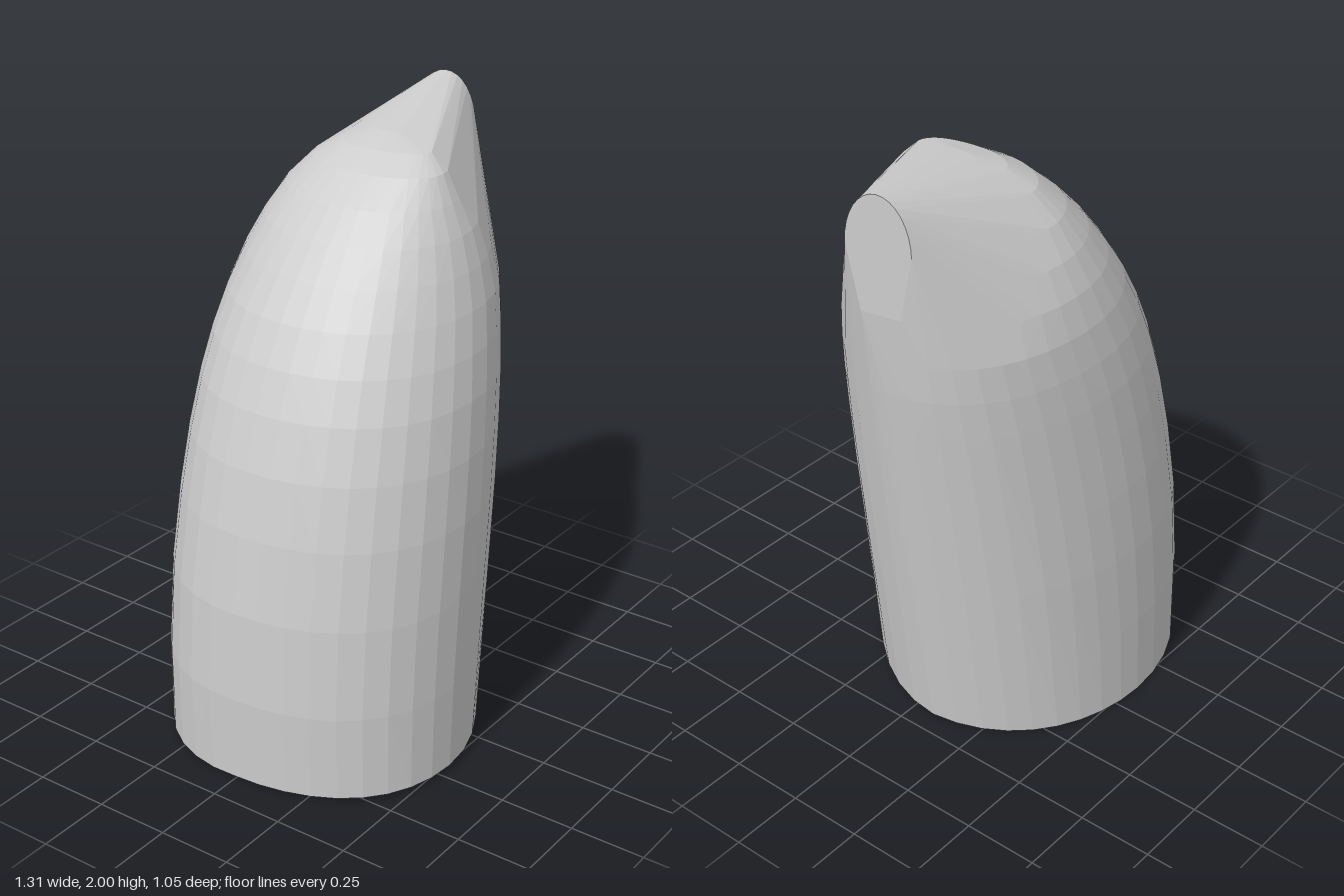
import * as THREE from 'three';
import { ConvexGeometry } from 'three/addons/geometries/ConvexGeometry.js';

// Cross-sections of the body: [y, xMin, xMax, zBack, zFront]
const SECTIONS = [
  [0.007, -0.645, 0.43, -0.52, 0.523],
  [0.3, -0.655, 0.468, -0.521, 0.524],
  [0.6, -0.638, 0.51, -0.517, 0.52],
  [0.85, -0.6, 0.543, -0.505, 0.511],
  [1.05, -0.555, 0.57, -0.492, 0.496],
  [1.22, -0.5, 0.593, -0.479, 0.474],
  [1.35, -0.443, 0.61, -0.465, 0.447],
  [1.47, -0.375, 0.62, -0.446, 0.415],
  [1.58, -0.295, 0.58, -0.415, 0.378],
  [1.68, -0.215, 0.52, -0.37, 0.338],
  [1.77, -0.125, 0.42, -0.312, 0.292],
  [1.85, -0.03, 0.33, -0.235, 0.245],
  [1.9, 0.06, 0.26, -0.15, 0.185],
  [1.93, 0.16, 0.22, -0.06, 0.05],
];
const SIDES = 36;

export function createModel() {
  const group = new THREE.Group();
  group.name = 'taperedStump';
  const grey = new THREE.MeshStandardMaterial({ color: 0xcccccc });
  grey.name = 'plain grey';

  const points = [];

  // Oval rings, drawn back at the overhanging end and fuller at the other end
  SECTIONS.forEach(([y, x0, x1, zb, zf], row) => {
    const half = (x1 - x0) / 2;
    for (let i = 0; i < SIDES; i++) {
      const a = (i / SIDES) * Math.PI * 2;
      const c = Math.cos(a), s = Math.sin(a);
      const lean = s > 0 ? 0.18 * half * s * s : 0.05 * (1 - y / 2) * Math.abs(s * c);
      const x = (x0 + x1) / 2 + half * c - lean;
      const z = (s > 0 ? zf : -zb) * s - 0.08 * Math.max(0, c) * Math.abs(c);
      points.push(new THREE.Vector3(x, row === 0 ? y + 0.0135 * z : y, z));
    }
  });

  // Flat arched facet at the tip
  const tipPoint = (y, z) => points.push(new THREE.Vector3(0.634 + 0.18 * (z + 0.093), y, z));
  for (let i = 0; i <= 16; i++) {
    const a = (i / 16) * Math.PI;
    tipPoint(1.83 + 0.17 * Math.sin(a), -0.093 + 0.107 * Math.cos(a));
  }
  tipPoint(1.62, -0.03);
  tipPoint(1.62, -0.16);

  // Faceted convex skin over the rings and the tip
  const body = new THREE.Mesh(new ConvexGeometry(points), grey);
  body.name = 'body';
  group.add(body);
  return group;
}
